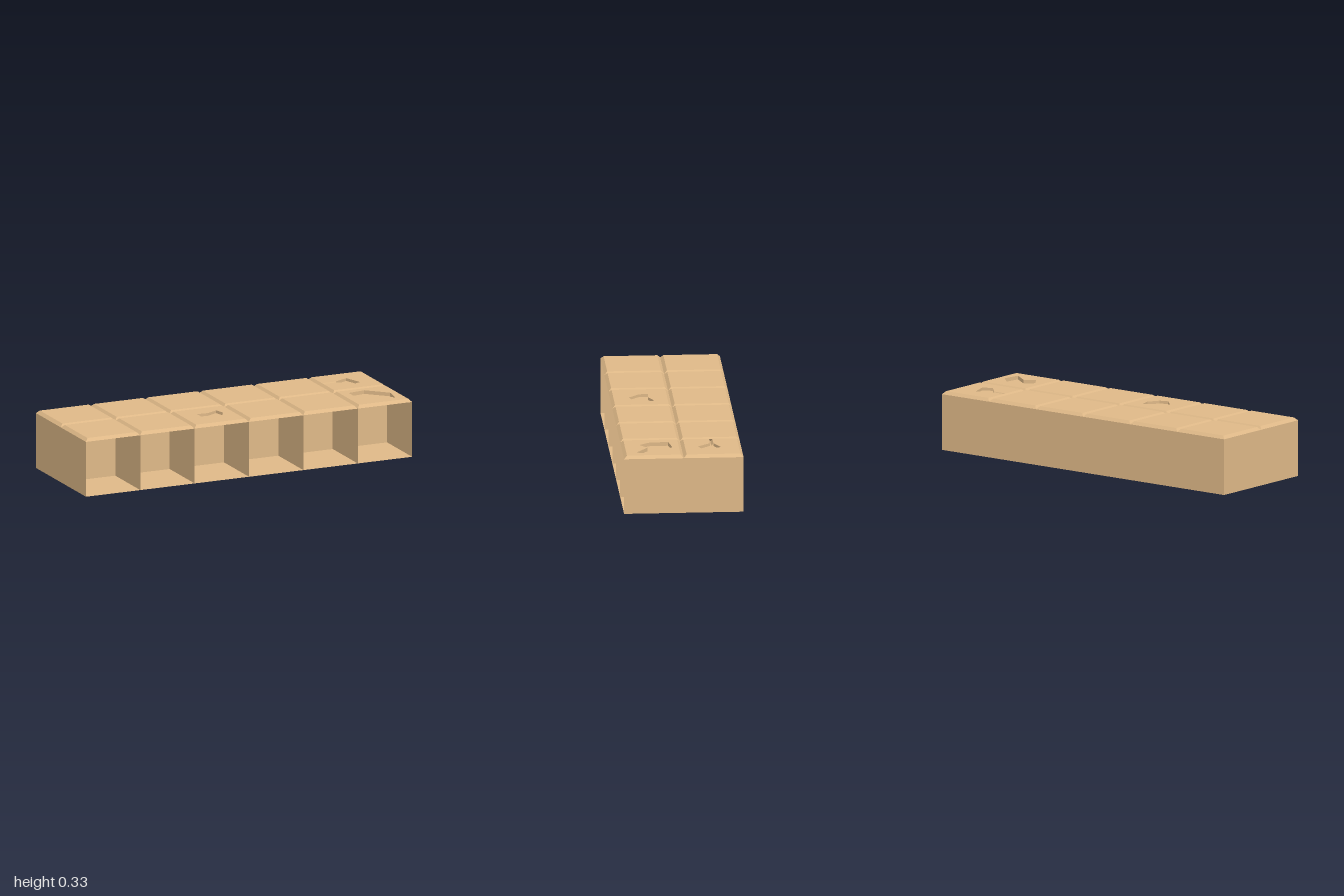
import * as THREE from 'three';

const CELL = 1 / 3, BEVEL = 1 / 60, TOP = 1 / 3, RIM = TOP - BEVEL;
const material = new THREE.MeshStandardMaterial({ color: 0xdeb887, flatShading: true, side: THREE.DoubleSide });

// Recess outlines as [x, z], clockwise seen from above
const recesses = [
  { col: 2, row: 1, depth: 0.016, points: [[-0.22, 0.118], [-0.155, 0.123], [-0.09, 0.09], [-0.075, 0.15], [-0.112, 0.214], [-0.16, 0.23], [-0.22, 0.17]] },
  { col: 5, row: 1, depth: 0.021, points: [[0.733, 0.07], [0.835, 0.053], [0.945, 0.16], [0.93, 0.262], [0.835, 0.193], [0.78, 0.235], [0.733, 0.17]] },
  { col: 5, row: 0, depth: 0.016, points: [[0.77, -0.18], [0.85, -0.219], [0.887, -0.112], [0.83, -0.09], [0.77, -0.16]],
    groove: [[0.685, -0.16], [0.685, -0.18]] },
];

function addMesh(parent, geometry, name) {
  const mesh = new THREE.Mesh(geometry, material);
  mesh.name = name;
  parent.add(mesh);
  return mesh;
}

function addPanel(parent, name, w, h, position, rotX, rotY) {
  const mesh = addMesh(parent, new THREE.PlaneGeometry(w, h), name);
  mesh.position.set(...position);
  mesh.rotation.set(rotX, rotY, 0);
}

const toVectors = (points) => points.map(([x, z]) => new THREE.Vector2(x, -z));

function flatFace(shape, y) {
  return new THREE.ShapeGeometry(shape).rotateX(-Math.PI / 2).translate(0, y, 0);
}

// Separate quads, corners a, b, c, d counter-clockwise
function quads(list) {
  const g = new THREE.BufferGeometry();
  const data = list.flatMap(([a, b, c, d]) => [a, b, c, a, c, d].flat());
  g.setAttribute('position', new THREE.Float32BufferAttribute(data, 3));
  g.computeVertexNormals();
  return g;
}

function addRecess(parent, { points, depth, groove }) {
  const low = TOP - depth;
  const walls = [];
  points.forEach(([x, z], i) => {
    if (groove && i === points.length - 1) return; // open towards the groove
    const [u, v] = points[(i + 1) % points.length];
    walls.push([[x, TOP, z], [x, low, z], [u, low, v], [u, TOP, v]]);
  });
  addMesh(parent, quads(walls), 'recessWalls');
  addMesh(parent, flatFace(new THREE.Shape(toVectors(points)), low), 'recessFloor');
  if (groove) {
    // V-shaped channel running to the tile edge
    const x0 = groove[0][0], x1 = points[0][0], zb = groove[1][1], zf = groove[0][1], zm = (zb + zf) / 2;
    addMesh(parent, quads([
      [[x0, TOP, zb], [x0, low, zm], [x1, low, zm], [x1, TOP, zb]],
      [[x0, low, zm], [x0, TOP, zf], [x1, TOP, zf], [x1, low, zm]],
    ]), 'groove');
  }
}

function makeTile(col, row) {
  const tile = new THREE.Group();
  tile.name = 'tile';
  const cx = -1 + (col + 0.5) * CELL, cz = (row - 0.5) * CELL, half = CELL / 2 - BEVEL;

  // Flat top, cut out where there is a recess
  const shape = new THREE.Shape(toVectors([
    [cx - half, cz + half], [cx + half, cz + half], [cx + half, cz - half], [cx - half, cz - half]]));
  const recess = recesses.find((r) => r.col === col && r.row === row);
  if (recess) {
    shape.holes.push(new THREE.Path(toVectors([...recess.points, ...(recess.groove || [])])));
    addRecess(tile, recess);
  }
  addMesh(tile, flatFace(shape, TOP), 'tileTop');

  // Chamfered rim: an open four-sided frustum
  const rim = new THREE.CylinderGeometry(half * Math.SQRT2, CELL / 2 * Math.SQRT2, BEVEL, 4, 1, true);
  rim.rotateY(Math.PI / 4).translate(cx, RIM + BEVEL / 2, cz);
  addMesh(tile, rim, 'tileChamfer');
  return tile;
}

export function createModel() {
  const model = new THREE.Group();
  model.name = 'tiledShelfBlock';
  const mid = RIM / 2, quarter = Math.PI / 2;

  // Thin outer shell, open at the front
  addPanel(model, 'floor', 2, 2 * CELL, [0, 0, 0], quarter, 0);
  addPanel(model, 'backWall', 2, RIM, [0, mid, -CELL], 0, Math.PI);
  for (const s of [-1, 1]) addPanel(model, 'sideWall', 2 * CELL, RIM, [s, mid, 0], 0, s * quarter);

  // Front compartments
  addPanel(model, 'innerWall', 2, RIM, [0, mid, 0], 0, 0);
  for (let i = 1; i < 6; i++) addPanel(model, 'divider', CELL, RIM, [-1 + i * CELL, mid, CELL / 2], 0, quarter);

  // Two rows of six tiles
  for (let row = 0; row < 2; row++) {
    for (let col = 0; col < 6; col++) model.add(makeTile(col, row));
  }
  return model;
}
